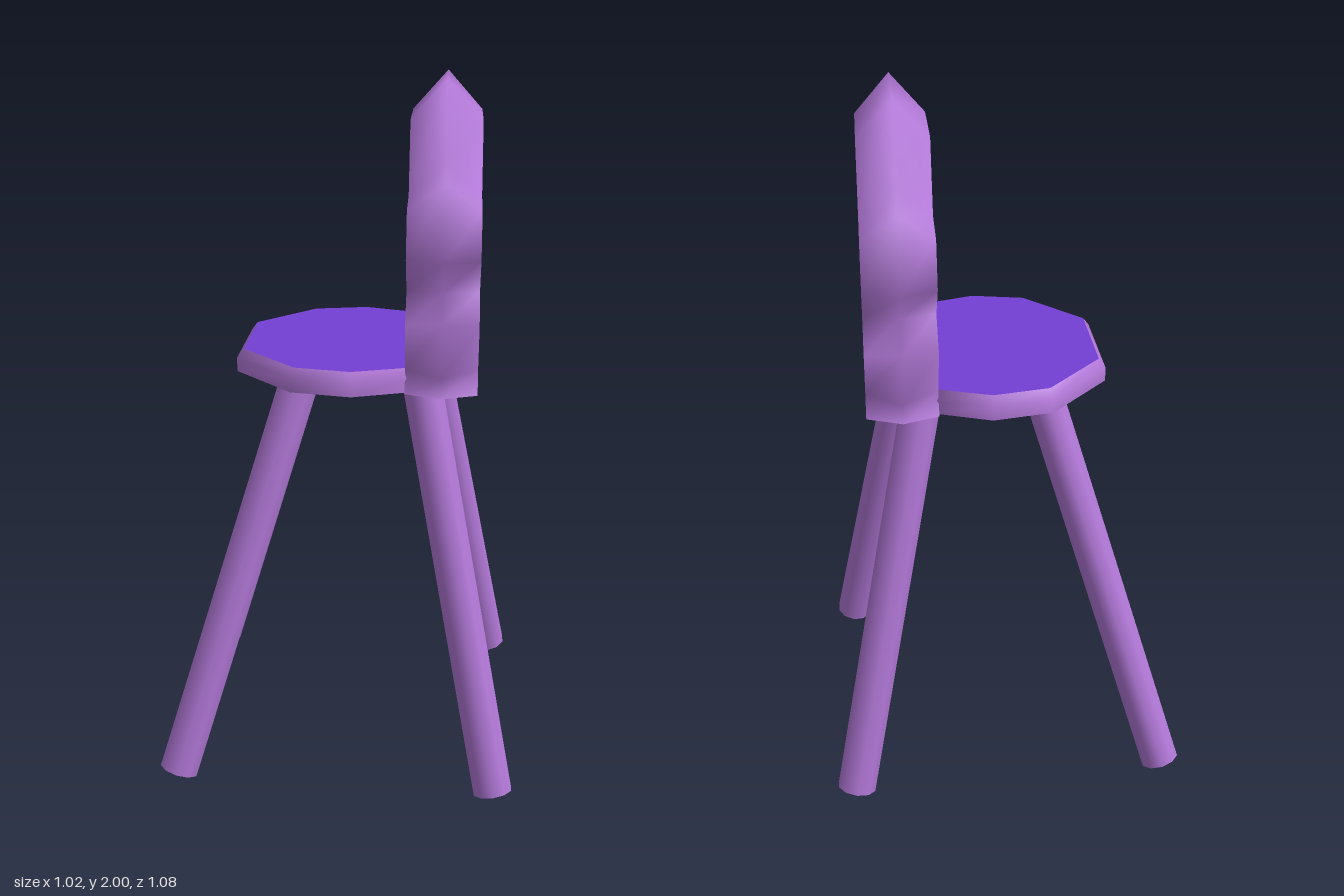
import * as THREE from 'three';

export function createModel() {
  const group = new THREE.Group();
  const lilac = new THREE.MeshStandardMaterial({ color: 0xb278d8, side: THREE.DoubleSide });
  lilac.name = 'lilac frame';
  const violet = new THREE.MeshStandardMaterial({ color: 0x7440d4, side: THREE.DoubleSide });
  violet.name = 'violet upholstery';

  const add = (name, geometry, material) => {
    const mesh = new THREE.Mesh(geometry, material);
    mesh.name = name;
    group.add(mesh);
    return mesh;
  };
  // Half outlines run from the +z side; the other half is mirrored
  const mirror = (half) => [...half, ...half.slice().reverse().map(([a, b]) => [-a, b])];

  // Build a surface between matching loops of points
  const loft = (rows, closed) => {
    const n = rows[0].length, index = [];
    for (let r = 0; r < rows.length - 1; r++) {
      for (let i = 0; i < (closed ? n : n - 1); i++) {
        const a = r * n + i, b = r * n + (i + 1) % n;
        index.push(a, b, a + n, b, b + n, a + n);
      }
    }
    const g = new THREE.BufferGeometry();
    g.setAttribute('position', new THREE.Float32BufferAttribute(rows.flat(2), 3));
    g.setIndex(index);
    g.computeVertexNormals();
    return g;
  };

  // Flat plate from an outline, placed by a rule
  const plate = (outline, place) => {
    const g = new THREE.ShapeGeometry(new THREE.Shape(outline.map(([a, b]) => new THREE.Vector2(a, b))));
    const p = g.attributes.position;
    for (let i = 0; i < p.count; i++) p.setXYZ(i, ...place(p.getX(i), p.getY(i)));
    g.computeVertexNormals();
    return g;
  };

  // Seat: shallow faceted disc cut straight at the backrest, outline as (z, x)
  const seatOutline = mirror([[0.34, 0.2], [0.4, 0.04], [0.365, -0.13], [0.165, -0.305]]);
  const inset = seatOutline.map(([z, x]) => [z * 0.94, x > 0.1 ? x : x * 0.94]);
  const ring = (pts, y) => pts.map(([z, x]) => [x, y, z]);
  add('seatEdge', loft([ring(seatOutline, 1.17), ring(seatOutline, 1.21), ring(inset, 1.235)], true), lilac);
  // Counter-clockwise from above for the top, reversed for the underside
  const top = add('seatTop', plate(inset, (z, x) => [x, 1.235, z]), violet);
  const under = add('seatUnderside', plate(seatOutline, (z, x) => [x, 1.17, -z]), lilac);
  for (const [mesh, up] of [[top, 1], [under, -1]]) {
    const g = mesh.geometry;
    if (g.attributes.normal.getY(0) * up < 0) {
      g.index.array.reverse();
      g.computeVertexNormals();
    }
  }

  // Backrest rim: lobed shell, ridged along the middle, outlines as (z, y)
  const ridge = mirror([[0.4, 1.17], [0.385, 1.22], [0.445, 1.39], [0.335, 1.45],
    [0.445, 1.55], [0.4, 1.755], [0.243, 1.78], [0.152, 2.0]]);
  const edge = mirror([[0.36, 1.17], [0.33, 1.235], [0.39, 1.37], [0.295, 1.445],
    [0.39, 1.55], [0.35, 1.675], [0.21, 1.695], [0.135, 1.89]]);
  const at = (pts, x) => pts.map(([z, y]) => [x, y, z]);
  add('backrestRim', loft([at(edge, 0.385), at(ridge, 0.285), at(edge, 0.185)], false), lilac);

  // Backrest panel: fills the front opening of the rim
  add('backrestPanel', plate(edge, (z, y) => [0.192, y, z]), violet);

  // Legs: splayed tapered-free rods, mirrored left to right
  const leg = (name, from, to) => {
    const a = new THREE.Vector3(...from), b = new THREE.Vector3(...to);
    const dir = b.clone().sub(a);
    const mesh = add(name, new THREE.CylinderGeometry(0.057, 0.057, dir.length(), 10), lilac);
    mesh.position.copy(a).add(b).multiplyScalar(0.5);
    mesh.quaternion.setFromUnitVectors(new THREE.Vector3(0, 1, 0), dir.normalize());
  };
  for (const s of [1, -1]) {
    leg('frontLeg', [-0.46, 0.035, 0.46 * s], [-0.11, 1.19, 0.235 * s]);
    leg('rearLeg', [0.457, 0.017, 0.485 * s], [0.222, 1.225, 0.26 * s]);
  }
  return group;
}
